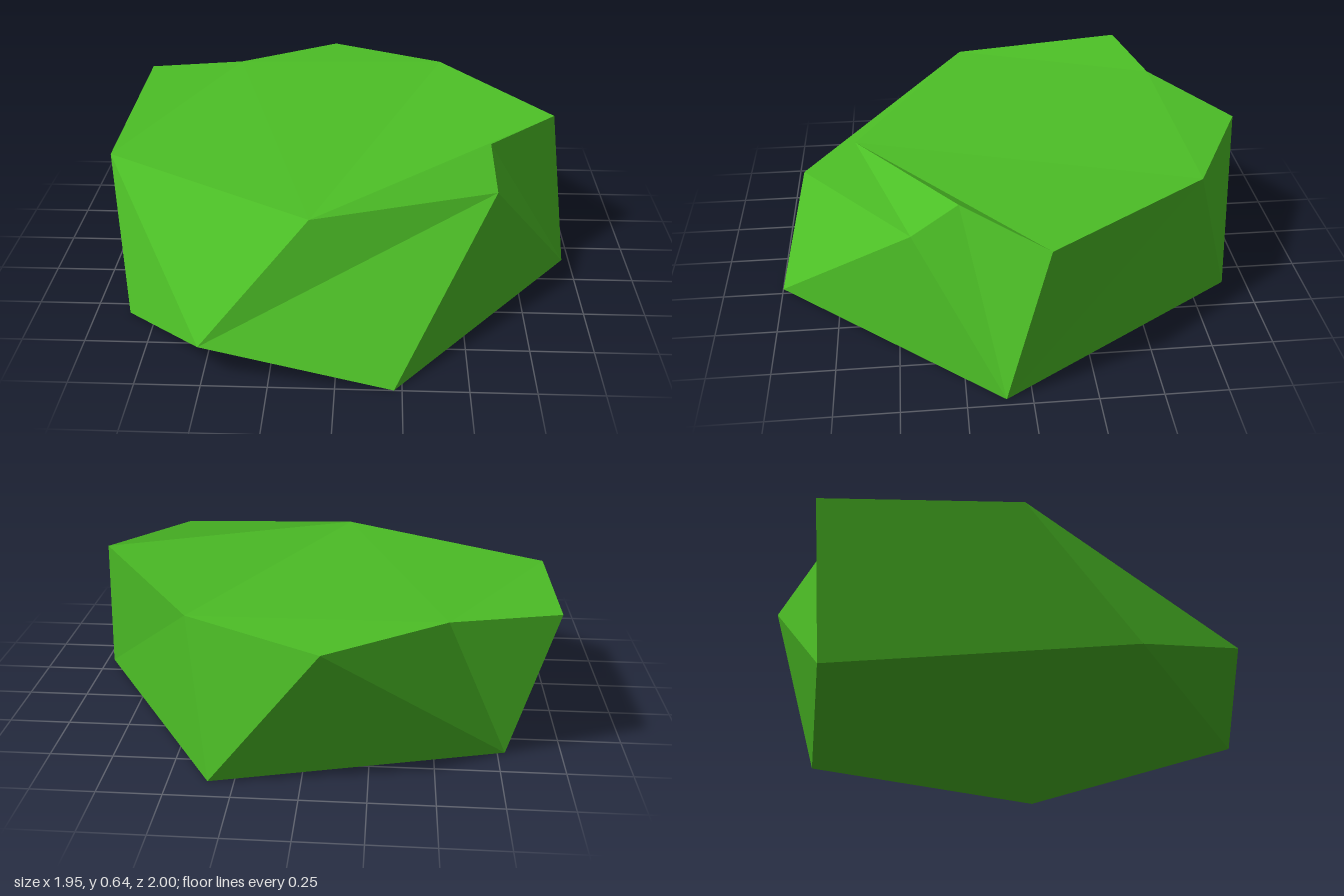
import * as THREE from 'three';

// Corner points of the faceted mound
const P = {
  // base ring
  bFrontRight: [-0.86, 0, 0.56], bFront: [0.22, 0, 1], bLeft: [0.97, 0, 0.1],
  bBackLeft: [0.35, 0, -0.9], bBackRight: [-0.78, 0, -0.61],
  // front shoulders
  toe: [-0.51, 0.14, 0.95], shoulder: [0.62, 0.525, 0.43],
  // top rim
  tBackRight: [-0.95, 0.6, -0.62], tNotch: [-0.53, 0.595, -0.71], tBack: [-0.08, 0.583, -1],
  tBackLeft: [0.44, 0.6, -0.73], tLeft: [0.9, 0.627, -0.07], tPeak: [0.6, 0.645, 0.245],
  tFront: [-0.11, 0.523, 0.66], tRight: [-0.98, 0.525, 0.16],
};

// Builds a flat-shaded mesh from convex polygons, corners anticlockwise from outside
function facets(name, polygons, material) {
  const positions = [];
  for (const polygon of polygons) {
    const corners = polygon.split(' ').map((key) => P[key]);
    for (let i = 1; i < corners.length - 1; i++) {
      positions.push(...corners[0], ...corners[i], ...corners[i + 1]);
    }
  }
  const geometry = new THREE.BufferGeometry();
  geometry.setAttribute('position', new THREE.Float32BufferAttribute(positions, 3));
  geometry.computeVertexNormals();
  const mesh = new THREE.Mesh(geometry, material);
  mesh.name = name;
  return mesh;
}

export function createModel() {
  const green = new THREE.MeshStandardMaterial({ color: 0x4cbe26 });
  green.name = 'leafGreen';
  const group = new THREE.Group();
  group.name = 'facetedMound';

  // Gently sloping top
  group.add(facets('top', [
    'tBackRight tRight tNotch',
    'tRight tFront tNotch',
    'tNotch tFront tBackLeft',
    'tNotch tBackLeft tBack',
    'tFront tLeft tBackLeft',
    'tFront tPeak tLeft',
  ], green));

  // Sloping front facets
  group.add(facets('frontSlope', [
    'bFrontRight toe tRight',
    'bFrontRight bFront toe',
    'toe tFront tRight',
    'toe shoulder tFront',
    'toe bFront shoulder',
    'tFront shoulder tPeak',
    'bFront bLeft shoulder',
    'shoulder bLeft tPeak',
    'bLeft tLeft tPeak',
  ], green));

  // Steep sides and back
  group.add(facets('sidesAndBack', [
    'bBackRight bFrontRight tRight tBackRight',
    'bLeft bBackLeft tBackLeft tLeft',
    'bBackLeft tBack tBackLeft',
    'bBackLeft bBackRight tBack',
    'bBackRight tBackRight tNotch tBack',
  ], green));

  // Flat underside
  group.add(facets('base', ['bFrontRight bBackRight bBackLeft bLeft bFront'], green));

  return group;
}
